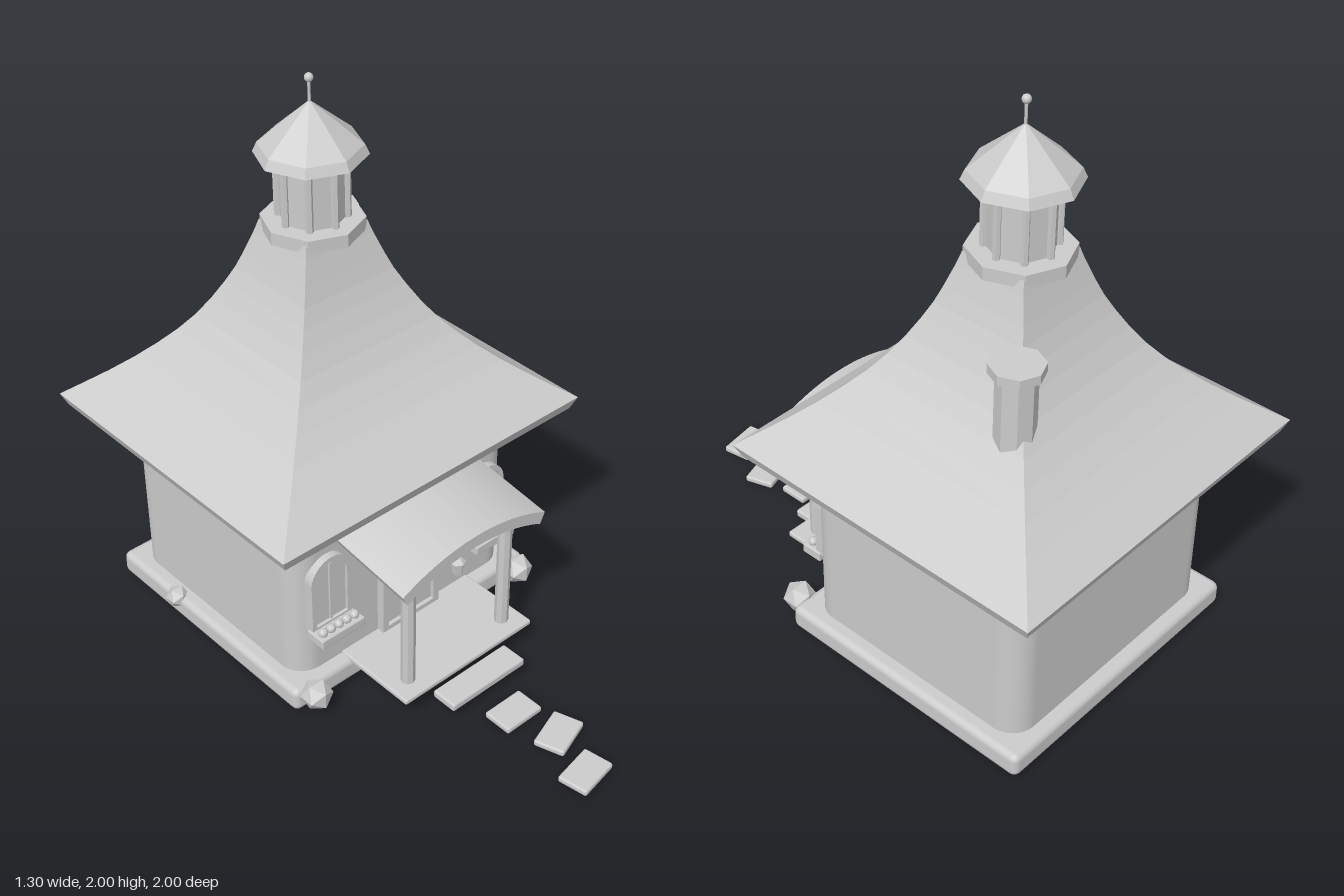
import * as THREE from 'three';
import { RoundedBoxGeometry } from 'three/addons/geometries/RoundedBoxGeometry.js';

const smooth = new THREE.MeshStandardMaterial({ color: 0xcccccc });
const flat = new THREE.MeshStandardMaterial({ color: 0xcccccc, flatShading: true });
const CZ = -0.395; // centre of the house in z

export function createModel() {
  const root = new THREE.Group();

  function add(name, geo, x, y, z, mat = flat, parent = root) {
    const m = new THREE.Mesh(geo, mat);
    m.name = name;
    m.position.set(x, y, z);
    parent.add(m);
    return m;
  }
  const box = (w, h, d, r = 0.008) => new RoundedBoxGeometry(w, h, d, 2, r);
  const cyl = (rt, rb, h, n = 8) => new THREE.CylinderGeometry(rt, rb, h, n);
  const lathe = (pts, n, start = 0) =>
    new THREE.LatheGeometry(pts.map(([r, y]) => new THREE.Vector2(r, y)), n, start);

  // Outline of a round-topped opening standing on y = 0
  function archPath(Type, halfW, h) {
    const p = new Type();
    p.moveTo(-halfW, 0);
    p.lineTo(halfW, 0);
    p.lineTo(halfW, h - halfW);
    p.absarc(0, h - halfW, halfW, 0, Math.PI, false);
    p.lineTo(-halfW, 0);
    return p;
  }
  function arch(halfW, h, depth, border = 0) {
    const s = archPath(THREE.Shape, halfW, h);
    if (border) {
      const hole = archPath(THREE.Path, halfW - border, h - 2 * border);
      const pts = hole.getPoints(10).map((p) => p.add(new THREE.Vector2(0, border)));
      s.holes.push(new THREE.Path(pts));
    }
    return new THREE.ExtrudeGeometry(s, { depth, bevelEnabled: false, curveSegments: 10 });
  }

  // Foundation and walls with rounded corners
  add('foundation', box(1.08, 0.09, 0.99, 0.025), 0, 0.055, CZ, smooth);
  const wx = 0.485, wz = 0.445, r = 0.09;
  const wall = new THREE.Shape();
  wall.absarc(wx - r, wz - r, r, 0, Math.PI / 2);
  wall.absarc(r - wx, wz - r, r, Math.PI / 2, Math.PI);
  wall.absarc(r - wx, r - wz, r, Math.PI, Math.PI * 1.5);
  wall.absarc(wx - r, r - wz, r, Math.PI * 1.5, Math.PI * 2);
  const wallGeo = new THREE.ExtrudeGeometry(wall, { depth: 0.71, bevelEnabled: false, curveSegments: 8 });
  wallGeo.rotateX(-Math.PI / 2);
  add('walls', wallGeo, 0, 0.09, CZ, smooth);

  // Swept four-sided roof with a thick eave
  const slope = new THREE.SplineCurve([
    [0.65, 0.8], [0.465, 0.945], [0.31, 1.105], [0.205, 1.28], [0.15, 1.42], [0.128, 1.49],
  ].map(([x, y]) => new THREE.Vector2(x, y))).getPoints(14).map((p) => [p.x, p.y]);
  const roofProfile = [[0, 0.785], [0.48, 0.765], [0.63, 0.754], [0.65, 0.8], ...slope.slice(1), [0, 1.49]];
  const roof = add('roof', lathe(roofProfile.map(([a, y]) => [a * Math.SQRT2, y]), 4, Math.PI / 4), 0, 0, CZ);
  roof.scale.z = 0.605 / 0.65;

  // Cupola
  const cupola = new THREE.Group();
  cupola.name = 'cupola';
  cupola.position.z = CZ;
  root.add(cupola);
  add('cupolaBase', cyl(0.172, 0.172, 0.045), 0, 1.485, 0, flat, cupola);
  add('cupolaDrum', cyl(0.108, 0.108, 0.25), 0, 1.615, 0, flat, cupola);
  for (let i = 0; i < 8; i++) {
    const a = (i * Math.PI) / 4;
    add('cupolaPost', cyl(0.013, 0.013, 0.24, 6), Math.sin(a) * 0.112, 1.62, Math.cos(a) * 0.112, flat, cupola);
  }
  add('cupolaRoof', lathe([[0, 1.73], [0.185, 1.73], [0.17, 1.763], [0, 1.91]], 8), 0, 0, 0, flat, cupola);
  add('finialRod', cyl(0.005, 0.005, 0.09), 0, 1.94, 0, smooth, cupola);
  add('finialBall', new THREE.SphereGeometry(0.015, 12, 8), 0, 1.985, 0, smooth, cupola);

  // Chimney
  add('chimneyShaft', cyl(0.065, 0.065, 0.38), 0.285, 1.14, -0.63);
  add('chimneyCap', cyl(0.087, 0.087, 0.032), 0.285, 1.328, -0.63);

  // Porch floor, posts and arched sloping roof
  add('porchFloor', box(0.59, 0.022, 0.33), 0, 0.096, 0.21);
  for (const s of [-1, 1]) {
    add('porchPost', cyl(0.025, 0.025, 0.51), s * 0.22, 0.33, 0.302);
    add('postCapital', cyl(0.032, 0.028, 0.02), s * 0.22, 0.56, 0.302);
  }
  const R = 0.72, half = Math.asin(0.32 / R), t = 0.045;
  const canopy = new THREE.Shape();
  canopy.absarc(0, -R, R, Math.PI / 2 - half, Math.PI / 2 + half, false);
  canopy.absarc(0, -R, R - t, Math.PI / 2 + half, Math.PI / 2 - half, true);
  const canopyGeo = new THREE.ExtrudeGeometry(canopy, { depth: 0.345, bevelEnabled: false, curveSegments: 12 });
  const pos = canopyGeo.attributes.position;
  for (let i = 0; i < pos.count; i++) pos.setY(i, pos.getY(i) - pos.getZ(i) * 0.14);
  canopyGeo.computeVertexNormals();
  add('porchRoof', canopyGeo, 0, 0.705, 0.04);

  // Hanging lantern
  add('lanternRod', cyl(0.004, 0.004, 0.12, 6), 0, 0.56, 0.302);
  add('lanternCap', cyl(0.012, 0.028, 0.015, 6), 0, 0.505, 0.302);
  add('lantern', cyl(0.025, 0.016, 0.05, 6), 0, 0.473, 0.302);

  // Arched door
  add('doorFrame', arch(0.13, 0.455, 0.035, 0.025), 0, 0.1, 0.045);
  add('door', arch(0.108, 0.425, 0.02), 0, 0.105, 0.045);
  add('doorSeam', new THREE.BoxGeometry(0.004, 0.27, 0.004), 0, 0.24, 0.066);
  add('doorWindow', cyl(0.04, 0.04, 0.016, 24), 0, 0.415, 0.068, smooth).rotation.x = Math.PI / 2;
  add('doorKnob', new THREE.SphereGeometry(0.01, 10, 8), 0.068, 0.31, 0.075, smooth);

  // Windows with flower boxes
  for (const s of [-1, 1]) {
    const win = new THREE.Group();
    win.name = 'window';
    win.position.x = s * 0.353;
    root.add(win);
    add('windowFrame', arch(0.085, 0.285, 0.037, 0.018), 0, 0.29, 0.04, flat, win);
    add('windowPane', arch(0.078, 0.275, 0.025), 0, 0.295, 0.04, flat, win);
    add('windowMullion', new THREE.BoxGeometry(0.01, 0.24, 0.01), 0, 0.43, 0.068, flat, win);
    add('flowerBox', box(0.185, 0.037, 0.08, 0.005), 0, 0.281, 0.095, flat, win);
    for (let i = -2; i <= 2; i++)
      add('flower', new THREE.IcosahedronGeometry(0.017, 1), i * 0.034, 0.309, 0.108, flat, win);
  }

  // Step and stepping stones
  add('step', box(0.335, 0.03, 0.1), 0, 0.055, 0.42);
  for (const [x, z, turn] of [[0, 0.585, 0], [0.04, 0.755, 0.32], [-0.02, 0.93, 0.17]])
    add('steppingStone', box(0.16, 0.024, 0.11), x, 0.016, z).rotation.y = turn;

  // Shrubs against the foundation
  for (const [x, y, z, size] of [[-0.475, 0.082, 0.13, 0.057], [0.475, 0.082, 0.13, 0.057], [-0.53, 0.088, -0.57, 0.042]])
    add('shrub', new THREE.IcosahedronGeometry(size, 0), x, y, z);

  return root;
}
